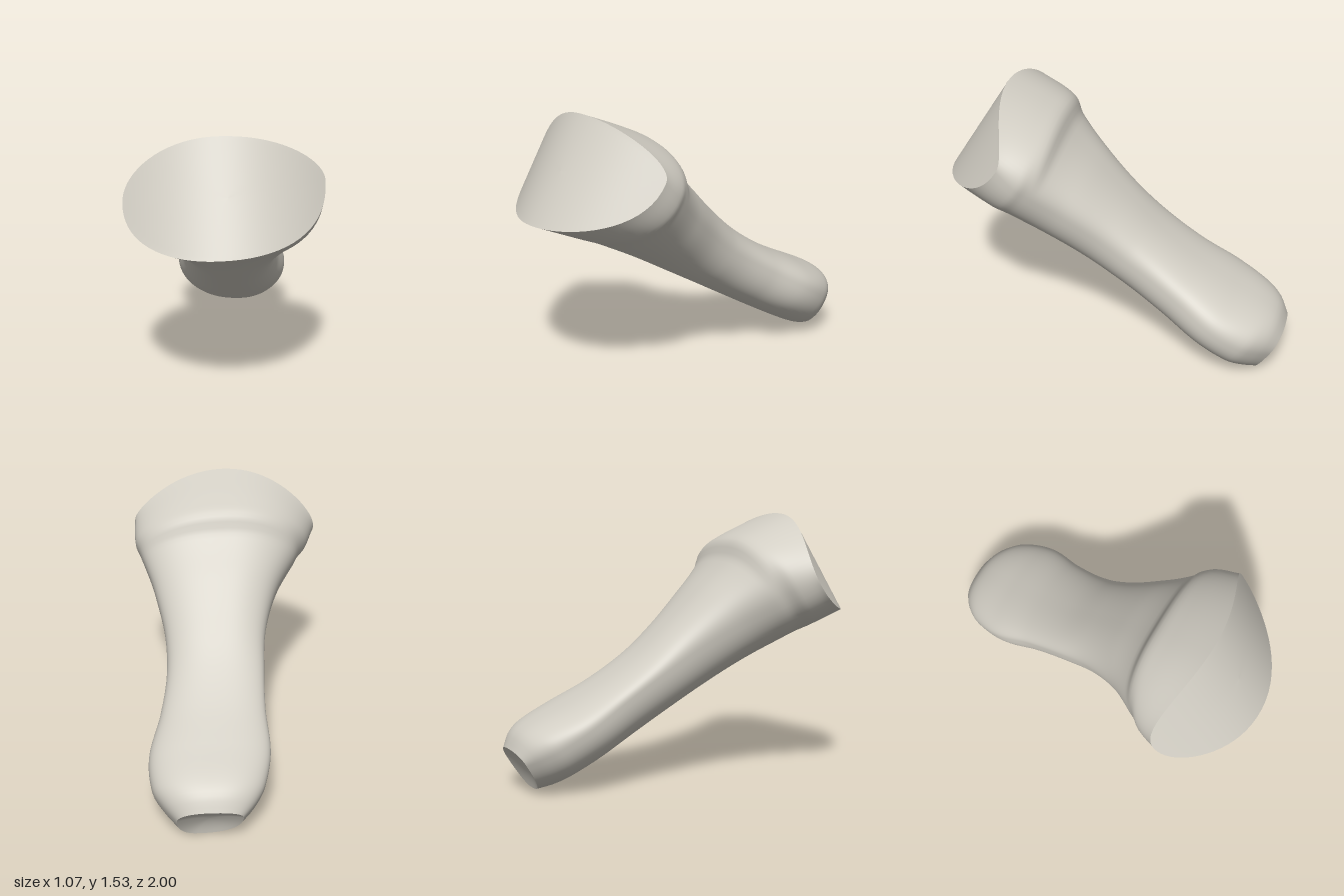
import * as THREE from 'three';

const SEGMENTS = 72;
const STEPS = 80;
const LENGTH = 2.08;

// Shaft outline from front to back: distance, underside, topside, right edge, left edge
const OUTLINE = [
  [0, 0, 0.648, -0.54, 0.53],
  [0.25, 0.035, 0.688, -0.49, 0.53],
  [0.36, 0.052, 0.69, -0.44, 0.505],
  [0.44, 0.06, 0.63, -0.41, 0.485],
  [0.7, 0.077, 0.565, -0.285, 0.415],
  [0.95, 0.083, 0.51, -0.215, 0.365],
  [1.2, 0.088, 0.468, -0.195, 0.36],
  [1.45, 0.092, 0.457, -0.19, 0.4],
  [1.7, 0.098, 0.475, -0.205, 0.465],
  [1.9, 0.107, 0.497, -0.165, 0.45],
  [2.0, 0.12, 0.488, -0.11, 0.39],
  [LENGTH, 0.142, 0.44, -0.04, 0.32],
];

// Smooth interpolation of the outline
function outlineAt(s) {
  const last = OUTLINE.length - 1;
  let i = 0;
  while (i < last - 1 && OUTLINE[i + 1][0] < s) i++;
  const a = OUTLINE[i], b = OUTLINE[i + 1];
  const w = b[0] - a[0], t = (s - a[0]) / w;
  const slope = (k, c) => {
    const p = OUTLINE[Math.max(k - 1, 0)], q = OUTLINE[Math.min(k + 1, last)];
    return (q[c] - p[c]) / (q[0] - p[0]);
  };
  return a.map((v, c) =>
    v * (1 + 2 * t) * (1 - t) ** 2 + b[c] * t * t * (3 - 2 * t) +
    w * (slope(i, c) * t * (1 - t) ** 2 + slope(i + 1, c) * t * t * (t - 1)));
}

// One rounded cross-section; scale shrinks it to its middle, push moves it along the axis
function ring(s, scale = 1, push = 0) {
  const [, bottom, top, right, left] = outlineAt(s);
  const cx = (right + left) / 2, ch = (bottom + top) / 2;
  const frontness = Math.max(0, 1 - s / 0.65);
  const bend = 0.8 * frontness ** 1.4; // sides of the head sweep back
  const leftH = 0.32 + 0.14 * Math.max(0, 1 - s / 1.1);
  const power = 0.87 + 0.08 * frontness;
  const points = [];
  for (let j = 0; j < SEGMENTS; j++) {
    const angle = (j / SEGMENTS) * Math.PI * 2;
    const c = Math.cos(angle), n = Math.sin(angle);
    const u = Math.abs(c) ** power, v = Math.abs(n) ** power;
    const poleX = n >= 0 ? -0.05 + 0.085 * s : -0.06 + 0.13 * s;
    const poleH = n >= 0 ? top : bottom;
    const sideX = c >= 0 ? left : right;
    const sideH = c >= 0 ? leftH : 0.36;
    const x = cx + (poleX + (sideX - poleX) * u - cx) * scale;
    const h = ch + (sideH + (poleH - sideH) * v - ch) * scale;
    const d = s + bend * x * x + push;
    points.push(x, 0.98 - 0.53 * d + 0.85 * h, 1 - 0.85 * d - 0.53 * h);
  }
  return points;
}

// Skin a list of rings
function loft(rings) {
  const index = [];
  for (let i = 0; i < rings.length - 1; i++) {
    for (let j = 0; j < SEGMENTS; j++) {
      const a = i * SEGMENTS + j, b = i * SEGMENTS + (j + 1) % SEGMENTS;
      index.push(a, a + SEGMENTS, b, b, a + SEGMENTS, b + SEGMENTS);
    }
  }
  const geometry = new THREE.BufferGeometry();
  geometry.setAttribute('position', new THREE.Float32BufferAttribute(rings.flat(), 3));
  geometry.setIndex(index);
  geometry.computeVertexNormals();
  return geometry;
}

export function createModel() {
  const group = new THREE.Group();
  group.name = 'bone';
  const material = new THREE.MeshStandardMaterial({ color: 0xd2cec4 });
  material.name = 'pale bone';
  const add = (name, rings) => {
    const mesh = new THREE.Mesh(loft(rings), material);
    mesh.name = name;
    group.add(mesh);
  };

  // Shaft with its flared head and rounded tail
  const shaft = [];
  for (let i = 0; i <= STEPS; i++) shaft.push(ring((i / STEPS) * LENGTH));
  add('shaft', shaft);

  // Broad front joint face, and a small, slightly hollow rear one
  const front = [], rear = [];
  for (let i = 0; i <= 12; i++) {
    const t = Math.max(i / 12, 0.001);
    front.push(ring(0, t));
    rear.unshift(ring(LENGTH, t, -0.03 * (1 - t * t)));
  }
  add('frontJointFace', front);
  add('rearJointFace', rear);

  return group;
}
